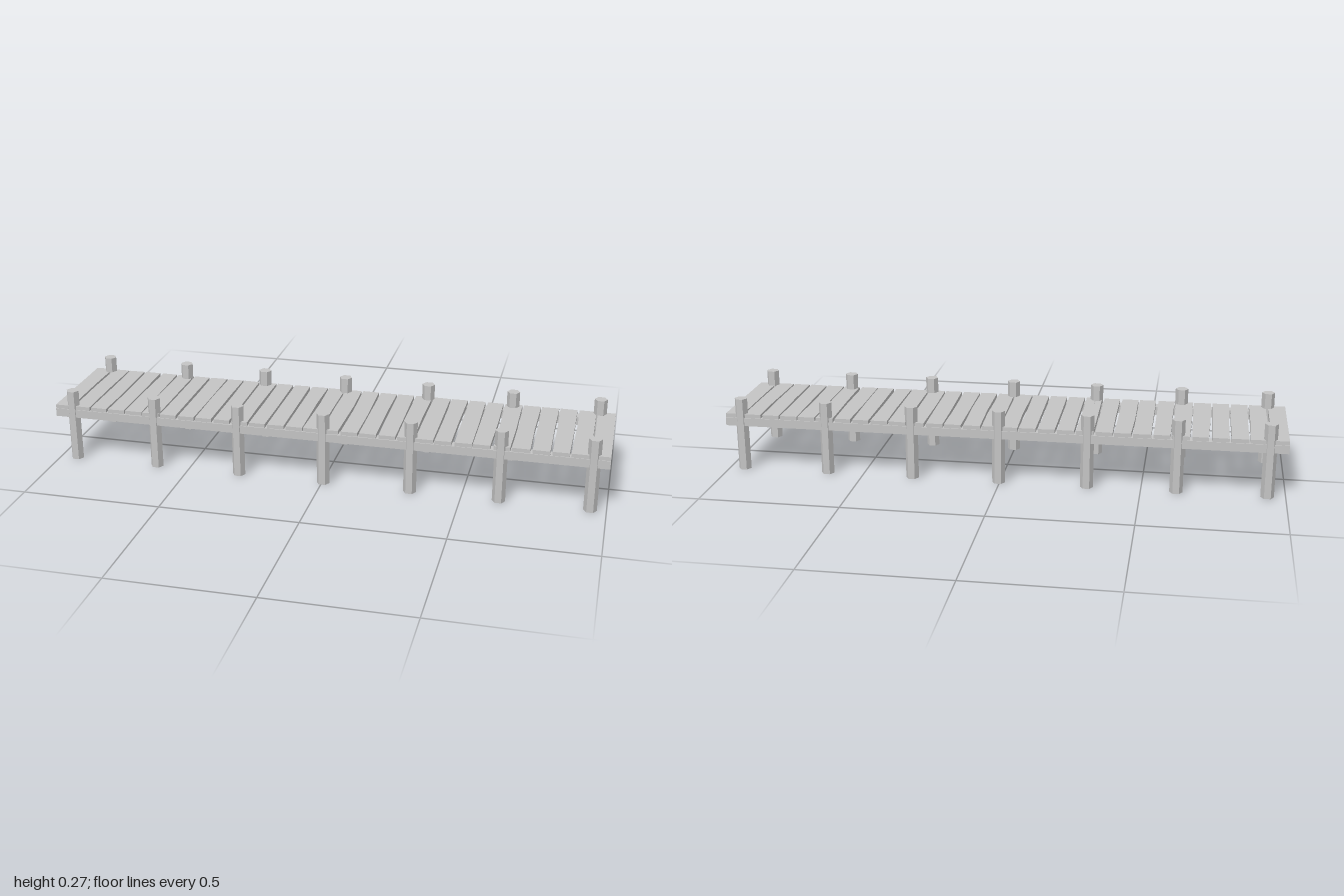
import * as THREE from 'three';

export function createModel() {
  const group = new THREE.Group();
  const wood = new THREE.MeshStandardMaterial({ color: 0xc4c4c4, flatShading: true });
  wood.name = 'weatheredWood';

  const add = (name, geometry, x, y, z) => {
    const mesh = new THREE.Mesh(geometry, wood);
    mesh.name = name;
    mesh.position.set(x, y, z);
    group.add(mesh);
  };

  // small seeded generator for uneven plank edges
  let seed = 11;
  const wobble = (amount) => {
    seed = (seed * 16807) % 2147483647;
    return (seed / 2147483647 - 0.5) * 2 * amount;
  };

  // hexagonal posts and long side beams
  const postGeo = new THREE.CylinderGeometry(0.0232, 0.0232, 0.267, 6).rotateY(Math.PI / 2);
  const beamGeo = new THREE.BoxGeometry(2, 0.03, 0.036);
  for (const side of [1, -1]) {
    add('sideBeam', beamGeo, 0, 0.182, side * 0.1795);
    for (let i = 0; i < 7; i++) add('post', postGeo, 0.004 + (i - 3) * 0.3135, 0.1335, side * 0.18);
  }

  // deck planks: slightly crooked outlines, one with a split in its front end
  const count = 30, pitch = 2 / count, half = pitch / 2;
  const crackedPlank = 10;
  for (let i = 0; i < count; i++) {
    const edge = () => half - 0.0035 + wobble(0.0025);
    const left = i === 0 ? () => half : edge;
    const right = i === count - 1 ? () => half : edge;
    const end = 0.194;
    // shape y becomes -z after laying the plank flat
    const points = [[-left(), -end + wobble(0.0015)]];
    if (i === crackedPlank) points.push([0.025 - half, -end], [0.029 - half, -0.12], [0.031 - half, -end]);
    points.push(
      [right(), -end + wobble(0.0015)],
      [right(), wobble(0.06)],
      [right(), end + wobble(0.0015)],
      [-left(), end + wobble(0.0015)],
      [-left(), wobble(0.06)]
    );
    const shape = new THREE.Shape(points.map(([x, y]) => new THREE.Vector2(x, y)));
    const geo = new THREE.ExtrudeGeometry(shape, { depth: 0.018, bevelEnabled: false });
    geo.rotateX(-Math.PI / 2);
    add('plank', geo, -1 + (i + 0.5) * pitch, 0.193, 0);
  }

  return group;
}
